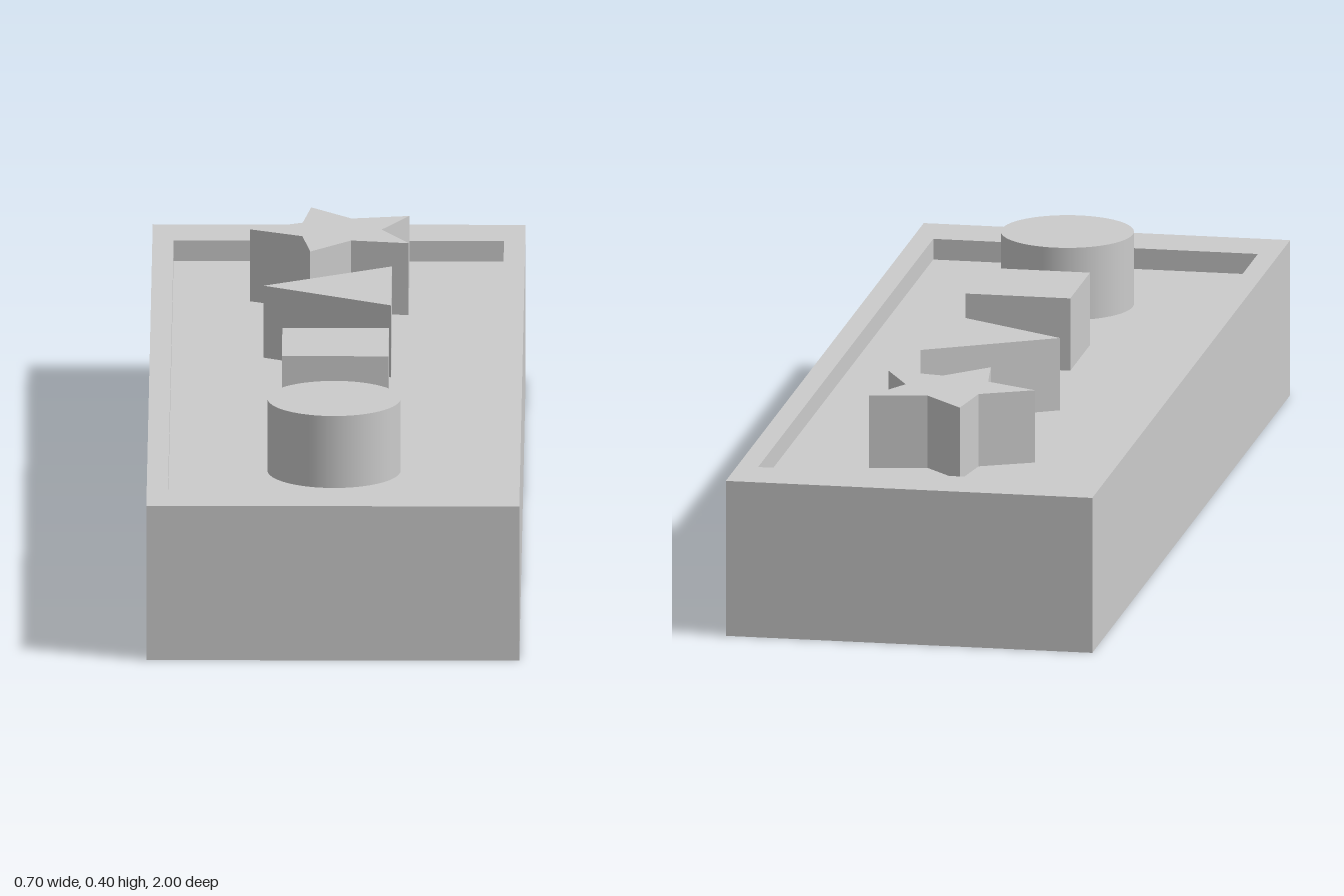
import * as THREE from 'three';

const TOP = 0.3, FLOOR = 0.26, PEG_TOP = 0.4;

// Shell made of rectangular rings [half width, half depth, height], bottom to top
function rectLoft(rings) {
  const corners = [[1, 1], [1, -1], [-1, -1], [-1, 1]];
  const point = ([hx, hz, y], i) => [corners[i % 4][0] * hx, y, corners[i % 4][1] * hz];
  const pos = [];
  for (let r = 0; r < rings.length - 1; r++) {
    const lo = rings[r], hi = rings[r + 1];
    for (let i = 0; i < 4; i++) {
      const a = point(lo, i), b = point(lo, i + 1), c = point(hi, i + 1), d = point(hi, i);
      if (lo[0] > 0) pos.push(...a, ...b, ...c);
      if (hi[0] > 0) pos.push(...a, ...c, ...d);
    }
  }
  const geo = new THREE.BufferGeometry();
  geo.setAttribute('position', new THREE.Float32BufferAttribute(pos, 3));
  geo.computeVertexNormals();
  return geo;
}

// Upright prism whose corners lie at the given radii (repeated), first one towards -x
function prism(count, radii) {
  const points = Array.from({ length: count }, (_, i) => {
    const a = Math.PI + (i / count) * Math.PI * 2, r = radii[i % radii.length];
    return new THREE.Vector2(r * Math.cos(a), r * Math.sin(a));
  });
  return new THREE.ExtrudeGeometry(new THREE.Shape(points), { depth: PEG_TOP - FLOOR, bevelEnabled: false })
    .rotateX(-Math.PI / 2)
    .translate(0, (FLOOR - PEG_TOP) / 2, 0);
}

export function createModel() {
  const group = new THREE.Group();
  const material = new THREE.MeshStandardMaterial({ color: 0xcccccc });
  const add = (name, geometry, x = 0, y = 0, z = 0) => {
    const mesh = new THREE.Mesh(geometry, material);
    mesh.name = name;
    mesh.position.set(x, y, z);
    group.add(mesh);
  };

  // Solid tray with a shallow recess in its top
  add('tray', rectLoft([
    [0, 0, 0], [0.35, 1, 0], [0.35, 1, TOP],
    [0.31, 0.885, TOP], [0.31, 0.885, FLOOR], [0, 0, FLOOR],
  ]));

  // Four shaped pegs standing in the recess, front to back
  const h = PEG_TOP - FLOOR, mid = (PEG_TOP + FLOOR) / 2;
  add('roundPeg', new THREE.CylinderGeometry(0.125, 0.125, h, 64), 0, mid, 0.6);
  add('squarePeg', new THREE.BoxGeometry(0.2, h, 0.2), 0, mid, 0.2);
  add('trianglePeg', prism(3, [0.16]), 0.023, mid, -0.2);
  add('starPeg', prism(10, [0.165, 0.082]), 0, mid, -0.6);

  return group;
}
